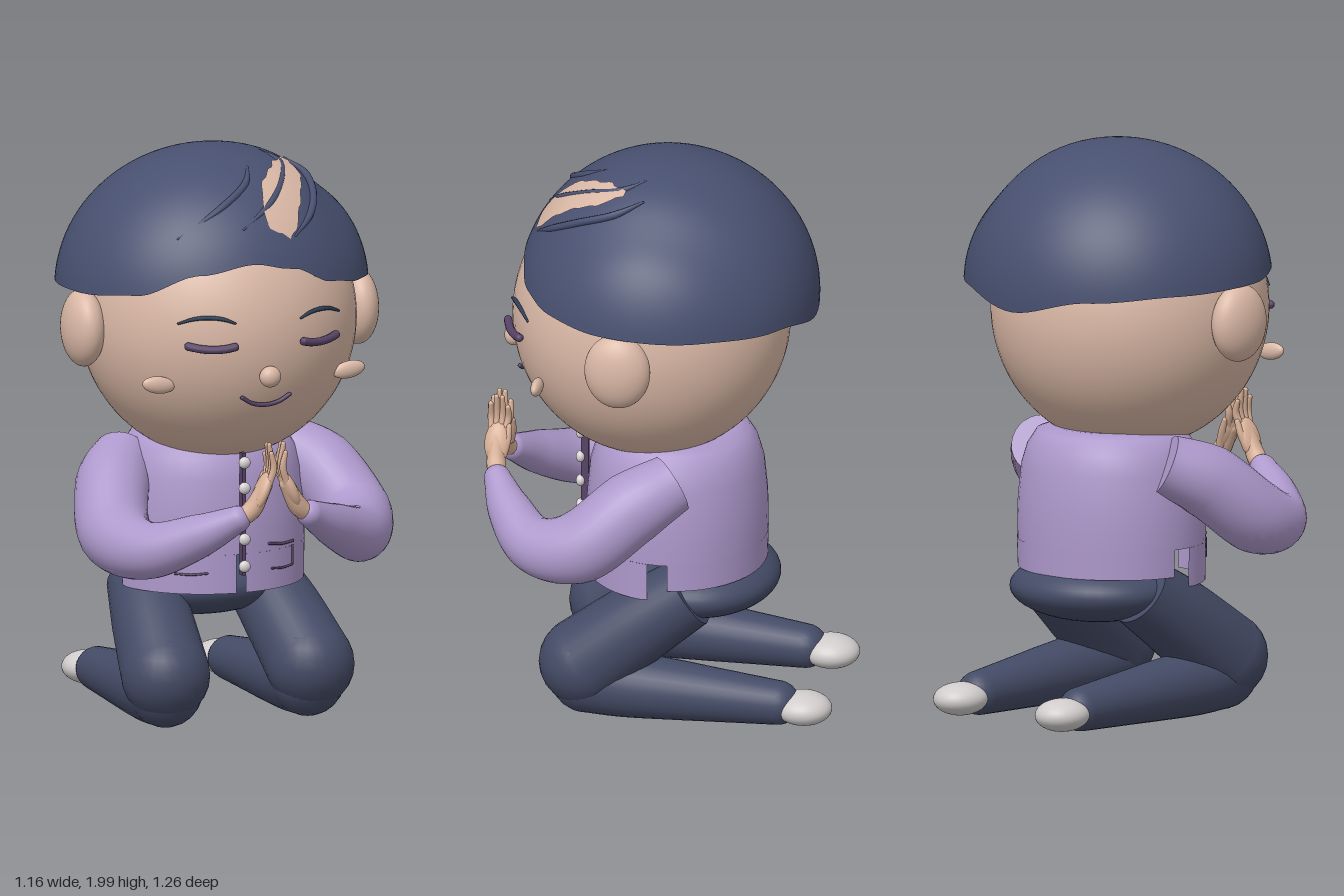
import * as THREE from 'three';
import { mergeGeometries, mergeVertices, toCreasedNormals } from 'three/addons/utils/BufferGeometryUtils.js';

const mat = (name, color, side = THREE.FrontSide) => {
  const m = new THREE.MeshStandardMaterial({ color, side });
  m.name = name;
  return m;
};
const V = (p) => new THREE.Vector3(...p);

// Tapered sweep through [x, y, z, radius] points, with round or flat start
function sweep(points, flatStart = false, sides = 20, steps = 28) {
  const curve = new THREE.CatmullRomCurve3(points.map((p) => V(p.slice(0, 3))));
  const tube = new THREE.TubeGeometry(curve, steps, 1, sides);
  const pos = tube.attributes.position, v = new THREE.Vector3();
  const last = points.length - 1;
  for (let i = 0; i <= steps; i++) {
    const c = curve.getPointAt(i / steps);
    const f = curve.getUtoTmapping(i / steps) * last;
    const k = Math.min(Math.floor(f), last - 1);
    const r = THREE.MathUtils.lerp(points[k][3], points[k + 1][3], f - k);
    for (let j = 0; j <= sides; j++) {
      const n = i * (sides + 1) + j;
      v.fromBufferAttribute(pos, n).sub(c).multiplyScalar(r).add(c);
      pos.setXYZ(n, v.x, v.y, v.z);
    }
  }
  const end = (p) => new THREE.SphereGeometry(p[3], sides, 12).translate(p[0], p[1], p[2]);
  let start = end(points[0]);
  if (flatStart) {
    const q = new THREE.Quaternion().setFromUnitVectors(V([0, 0, 1]), curve.getTangentAt(0).negate());
    start = new THREE.CircleGeometry(points[0][3], sides).applyQuaternion(q).translate(...points[0].slice(0, 3));
  }
  return mergeGeometries([tube, start, end(points[last])]);
}

const ball = (c, r) => new THREE.SphereGeometry(1, 40, 28).scale(...r).translate(...c);

// Smooth interpolation in a table of [key, value]
function lookup(table, x) {
  let i = 0;
  while (i < table.length - 2 && x > table[i + 1][0]) i++;
  const [a, b] = [table[i], table[i + 1]];
  return THREE.MathUtils.lerp(a[1], b[1], THREE.MathUtils.smoothstep(x, a[0], b[0]));
}

// Surfaces that details sit on
const HEAD = { y: 1.412, r: 0.48, ry: 0.493, z: 0.05 };
const HAIR = { y: 1.5, rx: 0.545, ry: 0.5, front: 0.508, back: 0.53 };
const facePoint = (x, y, off) => [x, y, HEAD.z + off + Math.sqrt(HEAD.r ** 2 - x * x - ((y - HEAD.y) * HEAD.r / HEAD.ry) ** 2)];
const hairTop = (x, z, off) => HAIR.y + off + HAIR.ry * Math.sqrt(Math.max(0, 1 - (x / HAIR.rx) ** 2 - (z / HAIR.front) ** 2));
const chestPoint = (x, y) => [x, y, -0.035 + 0.31 * Math.sqrt(1 - (x / 0.335) ** 2)];

// Hair cap: dome cut along a wavy hairline, with a rim turned in to the head
function hairGeometry() {
  const hairline = [[-180, 1.455], [-148, 1.51], [-115, 1.53], [-75, 1.54], [-50, 1.56], [-25, 1.638],
    [-4, 1.67], [12, 1.645], [30, 1.58], [48, 1.555], [75, 1.54], [115, 1.53], [148, 1.51], [180, 1.455]];
  const g = new THREE.SphereGeometry(1, 96, 26, 0, Math.PI * 2, 0, 1);
  const pos = g.attributes.position, uv = g.attributes.uv;
  for (let i = 0; i < pos.count; i++) {
    const row = Math.round((1 - uv.getY(i)) * 26);
    const phi = uv.getX(i) * Math.PI * 2;
    const sx = -Math.cos(phi), sz = Math.sin(phi);
    const edge = Math.acos((lookup(hairline, THREE.MathUtils.radToDeg(Math.atan2(sx, sz))) - HAIR.y) / HAIR.ry);
    const t = edge * Math.min(row, 25) / 25;
    const s = Math.sin(t) * (row === 26 ? 0.76 : 1);
    const x = HAIR.rx * s * sx;
    // shallow dip beside the parting
    const dip = 0.022 * Math.exp(-(((x - 0.36) / 0.1) ** 2)) * Math.sin(Math.PI * Math.min(row, 25) / 25);
    pos.setXYZ(i, x, HAIR.y + HAIR.ry * Math.cos(t) - dip + (row === 26 ? 0.03 : 0), (sz > 0 ? HAIR.front : HAIR.back) * s * sz);
  }
  g.deleteAttribute('uv');
  g.deleteAttribute('normal');
  return toCreasedNormals(mergeVertices(g, 1e-4), 0.9);
}

// Bare patch of scalp laid on the hair
function scalpGeometry() {
  const path = new THREE.CatmullRomCurve3([V([0.228, 0, 0.1]), V([0.195, 0, 0.2]), V([0.132, 0, 0.31]), V([0.08, 0, 0.43])]);
  const width = [[0, 0.025], [0.3, 0.1], [0.7, 0.13], [0.93, 0.11], [1, 0.07]];
  const g = new THREE.PlaneGeometry(1, 1, 8, 24);
  const pos = g.attributes.position;
  for (let i = 0; i < pos.count; i++) {
    const t = 0.5 - pos.getY(i), c = path.getPoint(t);
    const side = pos.getX(i) * lookup(width, t);
    const x = c.x + side, z = c.z + side * 0.25 + 0.006 * Math.sin(t * 31) * Math.sign(side);
    pos.setXYZ(i, x, hairTop(x, z, 0.008), z);
  }
  g.computeVertexNormals();
  return g;
}

export function createModel() {
  const model = new THREE.Group();
  const skin = mat('skin', 0xdab8a6), handSkin = mat('hand skin', 0xd8b097);
  const hairMat = mat('hair navy', 0x485070), trousers = mat('trousers navy', 0x444b66);
  const cloth = mat('lavender cloth', 0xae99cc, THREE.DoubleSide);
  const purple = mat('dark purple', 0x574366), browMat = mat('brow blue', 0x2e4058);
  const shoe = mat('shoe grey', 0xd0cccb), buttonMat = mat('button white', 0xd8d2d4);
  const scalpMat = mat('scalp skin', 0xdab8a6, THREE.DoubleSide);
  const add = (name, geo, material) => {
    const m = new THREE.Mesh(geo, material);
    m.name = name;
    model.add(m);
    return m;
  };

  // Head and hair
  add('head', new THREE.SphereGeometry(1, 64, 48).scale(HEAD.r, HEAD.ry, HEAD.r).translate(0, HEAD.y, HEAD.z), skin);
  add('hair', hairGeometry(), hairMat);
  add('scalpPatch', scalpGeometry(), scalpMat);
  const strands = [
    [[0.16, 0.04], [0.198, 0.12], [0.16, 0.24], [0.075, 0.35], [-0.05, 0.415]],
    [[0.255, 0.03], [0.295, 0.12], [0.275, 0.25], [0.22, 0.35], [0.14, 0.42]],
    [[0.05, 0.2], [0.01, 0.28], [-0.1, 0.345], [-0.27, 0.355]],
  ];
  for (const s of strands) {
    const pts = s.map(([x, z], i) => [x, hairTop(x, z, -0.003), z, i === 0 || i === s.length - 1 ? 0.004 : 0.013]);
    add('hairStrand', sweep(pts, false, 10), hairMat);
  }
  add('nose', ball([0, 1.285, 0.535], [0.038, 0.037, 0.032]), skin);
  add('mouth', sweep([[-0.088, 1.21], [-0.05, 1.187], [0, 1.178], [0.05, 1.187], [0.088, 1.21]]
    .map(([x, y]) => [...facePoint(x, y, 0.017), 0.0075]), false, 10), purple);

  // Jacket body, with side slits and a front opening below the waist
  const bodice = (name, profile, from, to) => add(name,
    new THREE.LatheGeometry(profile.map((p) => new THREE.Vector2(...p)), 48, THREE.MathUtils.degToRad(from),
      THREE.MathUtils.degToRad(to - from)).scale(0.335, 1, 0.31).translate(0, 0, -0.04), cloth);
  bodice('jacketBody', [[1.005, 0.61], [1.01, 0.68], [1, 0.76], [0.965, 0.87], [0.9, 0.94], [0.8, 0.99], [0.65, 1.008], [0, 1.01]], 0, 360);
  bodice('jacketSkirtLeft', [[1, 0.474], [1.005, 0.61]], 3, 82.5);
  bodice('jacketSkirtRight', [[1, 0.474], [1.005, 0.61]], 277.5, 357);
  bodice('jacketSkirtBack', [[1, 0.515], [1.01, 0.615]], 95.5, 264.5);
  add('placket', new THREE.BoxGeometry(0.014, 0.43, 0.026).translate(0, 0.755, 0.284), purple);
  for (const y of [0.572, 0.667, 0.757, 0.847, 0.937]) {
    add('button', ball([0, y, 0.3], [0.021, 0.021, 0.016]), buttonMat);
  }

  // Hips
  add('hips', ball([0, 0.452, -0.125], [0.31, 0.115, 0.272]), trousers);

  // Everything that comes in pairs
  for (const s of [1, -1]) {
    const side = s > 0 ? 'left' : 'right';
    const M = (pts) => pts.map(([x, ...rest]) => [x * s, ...rest]);
    const pair = (name, geo, material) => add(side + name, geo, material);

    pair('Ear', ball([s * 0.508, 1.408, 0.07], [0.07, 0.135, 0.115]), skin);
    pair('Eye', sweep(M([[0.128, 1.398], [0.16, 1.391], [0.2, 1.388], [0.24, 1.391], [0.274, 1.398]]
      .map(([x, y]) => [...facePoint(x, y, 0.017), 0.0145])), false, 10), purple);
    pair('Brow', sweep(M([[0.122, 1.478, 0.004], [0.16, 1.492, 0.007], [0.205, 1.497, 0.008], [0.25, 1.492, 0.007], [0.298, 1.474, 0.004]]
      .map(([x, y, r]) => [...facePoint(x, y, 0.006), r])), false, 8), browMat);
    const cheek = pair('Cheek', ball([0, 0, 0], [0.06, 0.03, 0.02]), skin);
    cheek.position.set(s * 0.353, 1.254, 0.383);
    cheek.rotation.z = s * 0.15;

    // Pocket outline
    pair('PocketFlap', sweep(M([[0.108, 0.637], [0.165, 0.628], [0.22, 0.627]]
      .map(([x, y]) => [...chestPoint(x, y), 0.005])), false, 6, 10), purple);
    pair('PocketEdge', sweep(M([[0.218, 0.61], [0.218, 0.58], [0.218, 0.545]]
      .map(([x, y]) => [...chestPoint(x, y), 0.004])), false, 6, 10), purple);
    pair('PocketBase', sweep(M([[0.218, 0.545], [0.17, 0.543], [0.12, 0.548]]
      .map(([x, y]) => [...chestPoint(x, y), 0.004])), false, 6, 10), purple);

    // Sleeve and hand
    pair('Sleeve', sweep(M([[0.3, 0.908, -0.08, 0.105], [0.385, 0.845, 0.04, 0.128], [0.445, 0.705, 0.22, 0.127],
      [0.39, 0.675, 0.38, 0.1], [0.25, 0.738, 0.5, 0.076], [0.135, 0.8, 0.565, 0.047]]), true, 28, 40), cloth);
    pair('Wrist', sweep(M([[0.13, 0.795, 0.565, 0.03], [0.085, 0.835, 0.58, 0.034], [0.04, 0.915, 0.585, 0.026]]), false, 14), handSkin);
    const palm = pair('Palm', ball([0, 0, 0], [0.024, 0.075, 0.044]), handSkin);
    palm.position.set(s * 0.052, 0.895, 0.583);
    palm.rotation.z = s * 0.42;
    [[0.55, 1.02], [0.57, 1.055], [0.59, 1.057], [0.61, 1.03]].forEach(([z, top], i) => {
      pair('Finger' + (i + 1), sweep(M([[0.035, 0.92, 0.566 + i * 0.013, 0.013], [0.017, 0.98, z, 0.013], [0.026, top, z, 0.009]]), false, 8, 10), handSkin);
    });
    pair('Thumb', sweep(M([[0.065, 0.86, 0.56, 0.016], [0.045, 0.91, 0.548, 0.014], [0.03, 0.95, 0.545, 0.01]]), false, 8, 10), handSkin);

    // Folded leg and shoe
    pair('Thigh', sweep(M([[0.21, 0.462, -0.118, 0.125], [0.24, 0.345, 0.05, 0.142], [0.268, 0.2, 0.237, 0.154]]), true, 28), trousers);
    pair('Shin', sweep(M([[0.264, 0.145, 0.225, 0.13], [0.262, 0.125, 0.1, 0.118], [0.255, 0.11, -0.12, 0.102],
      [0.245, 0.09, -0.44, 0.077]]), false, 28), trousers);
    pair('Shoe', ball([s * 0.246, 0.08, -0.53], [0.09, 0.057, 0.1]), shoe);
  }
  return model;
}
